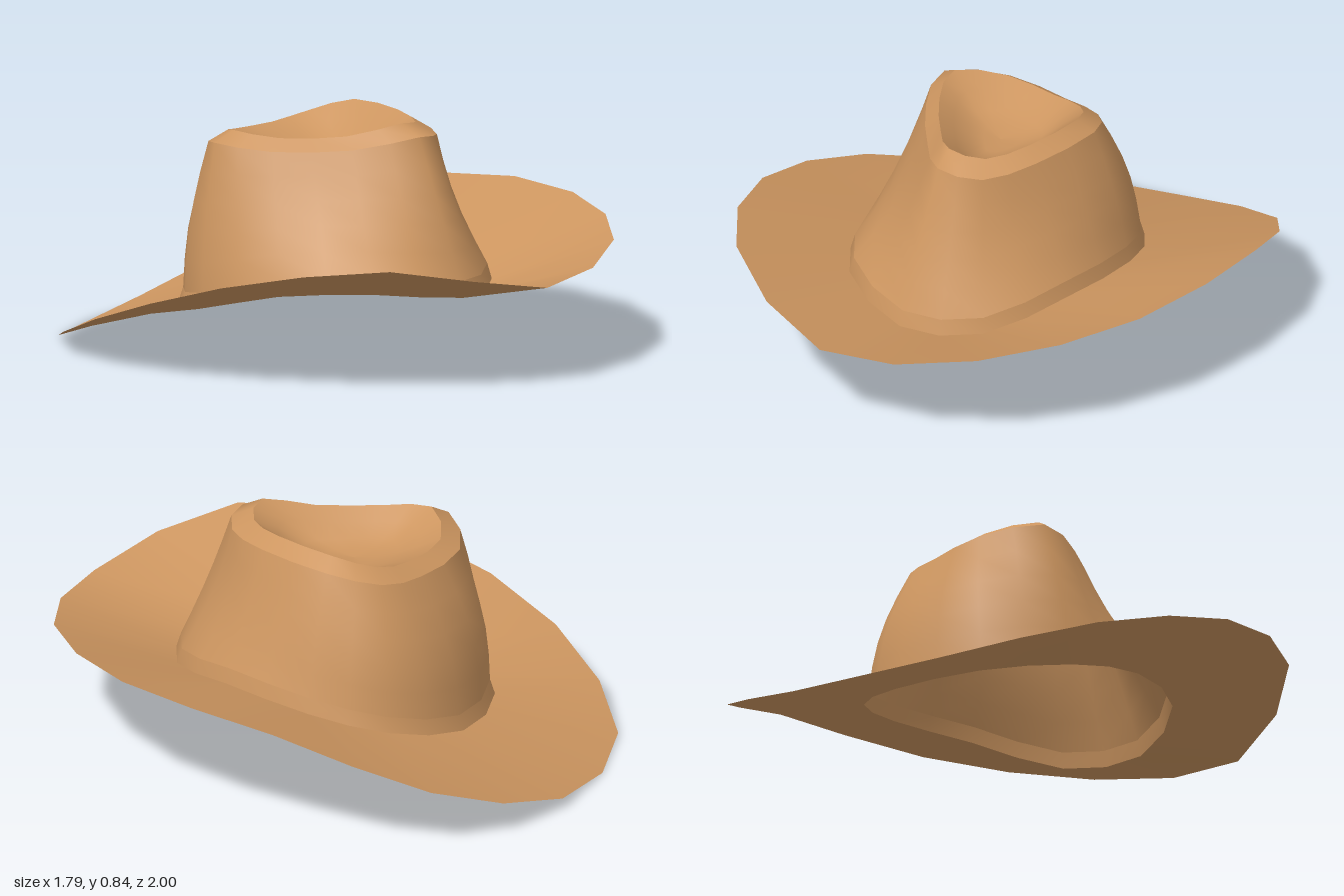
import * as THREE from 'three';

const SIDES = 20;

// A closed ring through ten control points [x, y, z]: back, +x side, front, -x side.
function ring(points) {
  const curve = new THREE.CatmullRomCurve3(
    points.map((p) => new THREE.Vector3(...p)), true, 'catmullrom', 0.5);
  return Array.from({ length: SIDES }, (_, i) => curve.getPoint(i / SIDES));
}

// Smooth skin over a series of rings, running from the outside / bottom to the inside / top.
function loft(name, rings, material) {
  const positions = rings.flatMap((r) => r.flatMap((p) => [p.x, p.y, p.z]));
  const index = [];
  for (let k = 0; k < rings.length - 1; k++) {
    for (let i = 0; i < SIDES; i++) {
      const j = (i + 1) % SIDES;
      const a = k * SIDES + i, b = k * SIDES + j;
      const c = a + SIDES, d = b + SIDES;
      index.push(a, c, d, a, d, b);
    }
  }
  const geometry = new THREE.BufferGeometry();
  geometry.setAttribute('position', new THREE.Float32BufferAttribute(positions, 3));
  geometry.setIndex(index);
  geometry.computeVertexNormals();
  const mesh = new THREE.Mesh(geometry, material);
  mesh.name = name;
  return mesh;
}

export function createModel() {
  const hat = new THREE.Group();
  hat.name = 'hat';
  const felt = new THREE.MeshStandardMaterial({ color: 0xcd9660, side: THREE.DoubleSide });

  // Wavy outer edge of the brim, drooping at the back and raised at the sides
  const edge = ring([
    [0.03, 0.05, -1.0], [0.59, 0.25, -0.83], [0.87, 0.455, -0.35], [0.86, 0.48, 0.29],
    [0.54, 0.432, 0.8], [0, 0.37, 1.0], [-0.55, 0.475, 0.77], [-0.85, 0.385, 0.24],
    [-0.86, 0.19, -0.36], [-0.56, 0.02, -0.83],
  ]);

  // Head opening
  const opening = ring([
    [0, 0.18, -0.56], [0.3, 0.26, -0.45], [0.435, 0.32, -0.2], [0.43, 0.34, 0.15],
    [0.29, 0.28, 0.45], [0.02, 0.27, 0.575], [-0.3, 0.31, 0.45], [-0.47, 0.285, 0.15],
    [-0.52, 0.2, -0.19], [-0.34, 0.16, -0.46],
  ]);

  // Upper edge of the crown wall, pinched towards the front
  const rim = ring([
    [0, 0.73, -0.385], [0.18, 0.755, -0.34], [0.29, 0.8, -0.18], [0.26, 0.8, 0.11],
    [0.17, 0.79, 0.3], [0.02, 0.81, 0.36], [-0.15, 0.765, 0.2], [-0.33, 0.755, -0.02],
    [-0.405, 0.77, -0.22], [-0.24, 0.735, -0.38],
  ]);

  // Narrow upright step between brim and crown
  const base = opening.map((p) => new THREE.Vector3(p.x * 0.97, p.y + 0.055, p.z * 0.97));

  // Crown wall: fuller at the back, pressed in at both front corners
  const wall = [0, 0.2, 0.4, 0.6, 0.8, 1].map((t) => base.map((p, i) => {
    const angle = (i / SIDES) * Math.PI * 2;
    const back = Math.max(0, Math.cos(angle));
    const corner = Math.cos(angle) < 0 ? Math.sin(angle * 2) ** 2 : 0;
    const bulge = (0.035 * back - 0.025 * corner) * Math.sin(Math.PI * t);
    const q = p.clone().lerp(rim[i], t);
    q.x += Math.sin(angle) * bulge;
    q.z -= Math.cos(angle) * bulge;
    return q;
  }));

  // Rounded ridge, then the hollow in the top of the crown
  const inset = (scale, height) => rim.map((p) => new THREE.Vector3(
    -0.04 + (p.x + 0.04) * scale, height(p.y), -0.07 + (p.z + 0.07) * scale));
  const ridge = inset(0.82, (y) => y + 0.04);
  const hollow = [
    ridge,
    inset(0.62, (y) => 0.765 + (y - 0.77) * 0.5),
    inset(0.42, () => 0.72),
    inset(0.22, () => 0.705),
    inset(0, () => 0.7),
  ];

  hat.add(
    loft('brim', [edge, opening], felt),
    loft('crownBase', [opening, base], felt),
    loft('crownWall', wall, felt),
    loft('crownRidge', [rim, ridge], felt),
    loft('crownHollow', hollow, felt),
  );
  return hat;
}
